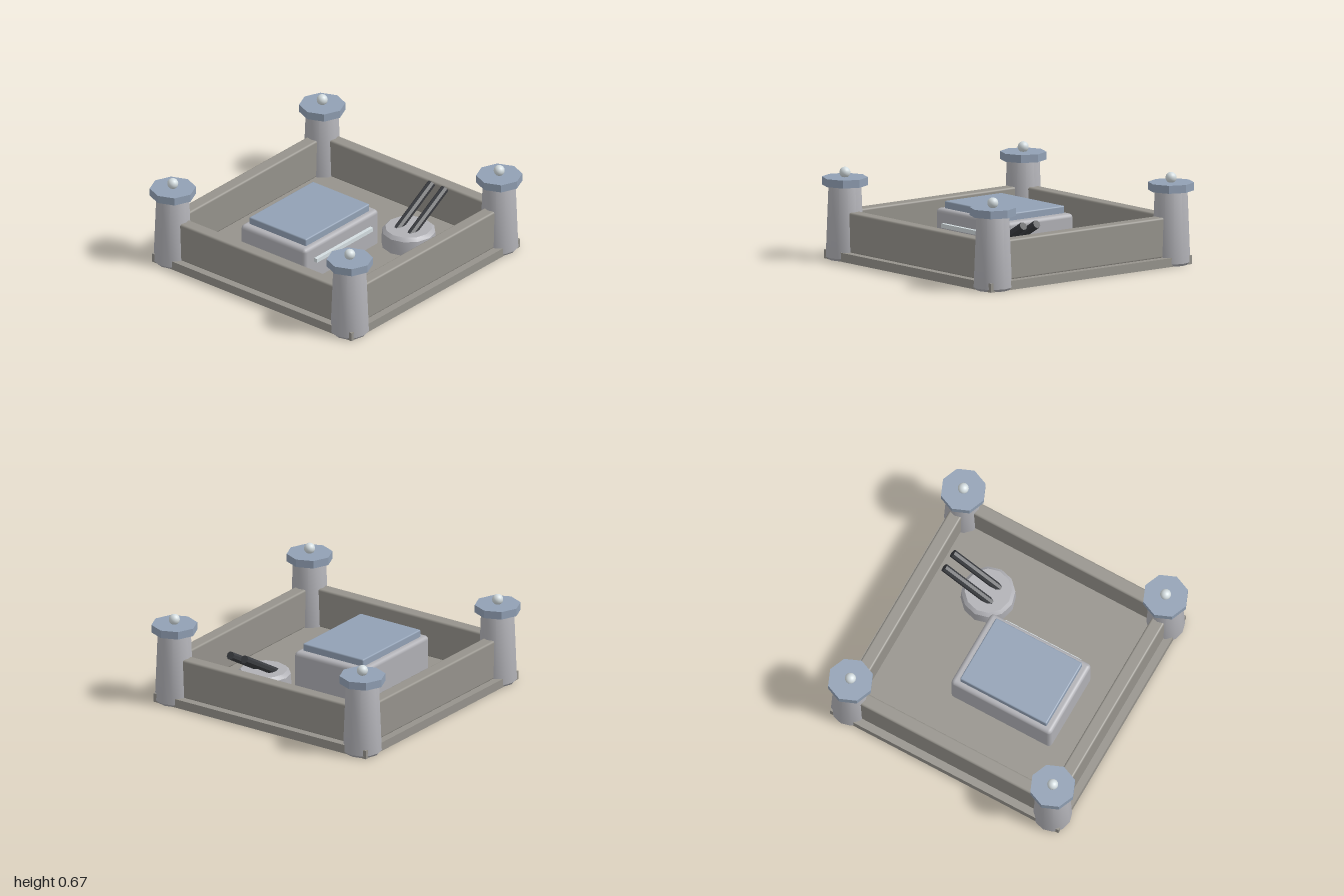
import * as THREE from 'three';
import { toCreasedNormals } from 'three/addons/utils/BufferGeometryUtils.js';
import { RoundedBoxGeometry } from 'three/addons/geometries/RoundedBoxGeometry.js';

const mat = (color) => new THREE.MeshStandardMaterial({ color });
const stone = mat(0x96938c), metal = mat(0xb0b0b5), blue = mat(0x92a1b5);
const dark = mat(0x3a3c40), pale = mat(0xd4dde0);

export function createModel() {
  const model = new THREE.Group();

  const add = (name, geometry, material, x, y, z, parent = model) => {
    const mesh = new THREE.Mesh(geometry, material);
    mesh.name = name;
    mesh.position.set(x, y, z);
    parent.add(mesh);
    return mesh;
  };

  // Box given by its two corners, with softened edges of radius r
  const block = (name, material, [x0, y0, z0], [x1, y1, z1], r) => {
    const size = [x1 - x0, y1 - y0, z1 - z0];
    const geometry = r ? new RoundedBoxGeometry(...size, 2, r) : new THREE.BoxGeometry(...size);
    return add(name, geometry, material, (x0 + x1) / 2, (y0 + y1) / 2, (z0 + z1) / 2);
  };

  // Turned solid with smooth sides and sharp bevels
  const turned = (profile) => toCreasedNormals(
    new THREE.LatheGeometry(profile.map(([x, y]) => new THREE.Vector2(x, y)), 12), 0.6);

  // Base slab
  block('base', stone, [-0.94, 0, -0.94], [0.94, 0.065, 0.94]);

  // Perimeter walls
  for (const s of [-1, 1]) {
    const a = s * 0.835;
    block(s > 0 ? 'frontWall' : 'backWall', stone, [-0.8, 0.06, a - 0.05], [0.8, 0.355, a + 0.05], 0.015);
    block(s > 0 ? 'leftWall' : 'rightWall', stone, [a - 0.05, 0.06, -0.8], [a + 0.05, 0.355, 0.8], 0.015);
  }

  // Corner towers with octagonal caps and ball finials
  const towerGeo = turned([[0, -0.001], [0.122, -0.001], [0.14, 0.018], [0.12, 0.535], [0.115, 0.545], [0, 0.545]]);
  const capGeo = toCreasedNormals(new THREE.CylinderGeometry(0.167, 0.167, 0.058, 8), 0.3);
  const ballGeo = new THREE.SphereGeometry(0.04, 16, 12);
  for (const sx of [-1, 1]) for (const sz of [-1, 1]) {
    const tower = new THREE.Group();
    tower.name = 'cornerTower';
    tower.position.set(sx * 0.833, 0, sz * 0.833);
    add('towerShaft', towerGeo, metal, 0, 0, 0, tower);
    add('towerCap', capGeo, blue, 0, 0.568, 0, tower);
    add('towerBall', ballGeo, pale, 0, 0.63, 0, tower);
    model.add(tower);
  }

  // Central building with roof slab and window strip
  block('building', metal, [-0.58, 0.005, -0.415], [0.245, 0.335, 0.2], 0.03);
  block('roof', blue, [-0.525, 0.31, -0.375], [0.187, 0.388, 0.16], 0.01);
  block('windowStrip', pale, [-0.48, 0.205, 0.18], [0.145, 0.235, 0.228]);

  // Gun turret
  const turret = new THREE.Group();
  turret.name = 'turret';
  turret.position.set(0.37, 0, 0.372);
  model.add(turret);
  add('turretBase', turned([[0, 0.05], [0.2, 0.05], [0.195, 0.175], [0.17, 0.2], [0, 0.2]]), metal, 0, 0, 0, turret);

  // Twin barrels, raised 30 degrees towards the left wall
  const barrelGeo = new THREE.CylinderGeometry(0.031, 0.031, 0.46, 8);
  barrelGeo.rotateY(Math.PI / 8);
  const sharpBarrel = toCreasedNormals(barrelGeo, 0.3);
  for (const s of [-1, 1]) {
    const barrel = add('barrel', sharpBarrel, dark, 0.128, 0.283, s * 0.0625, turret);
    barrel.rotation.z = -Math.PI / 3;
  }

  return model;
}
